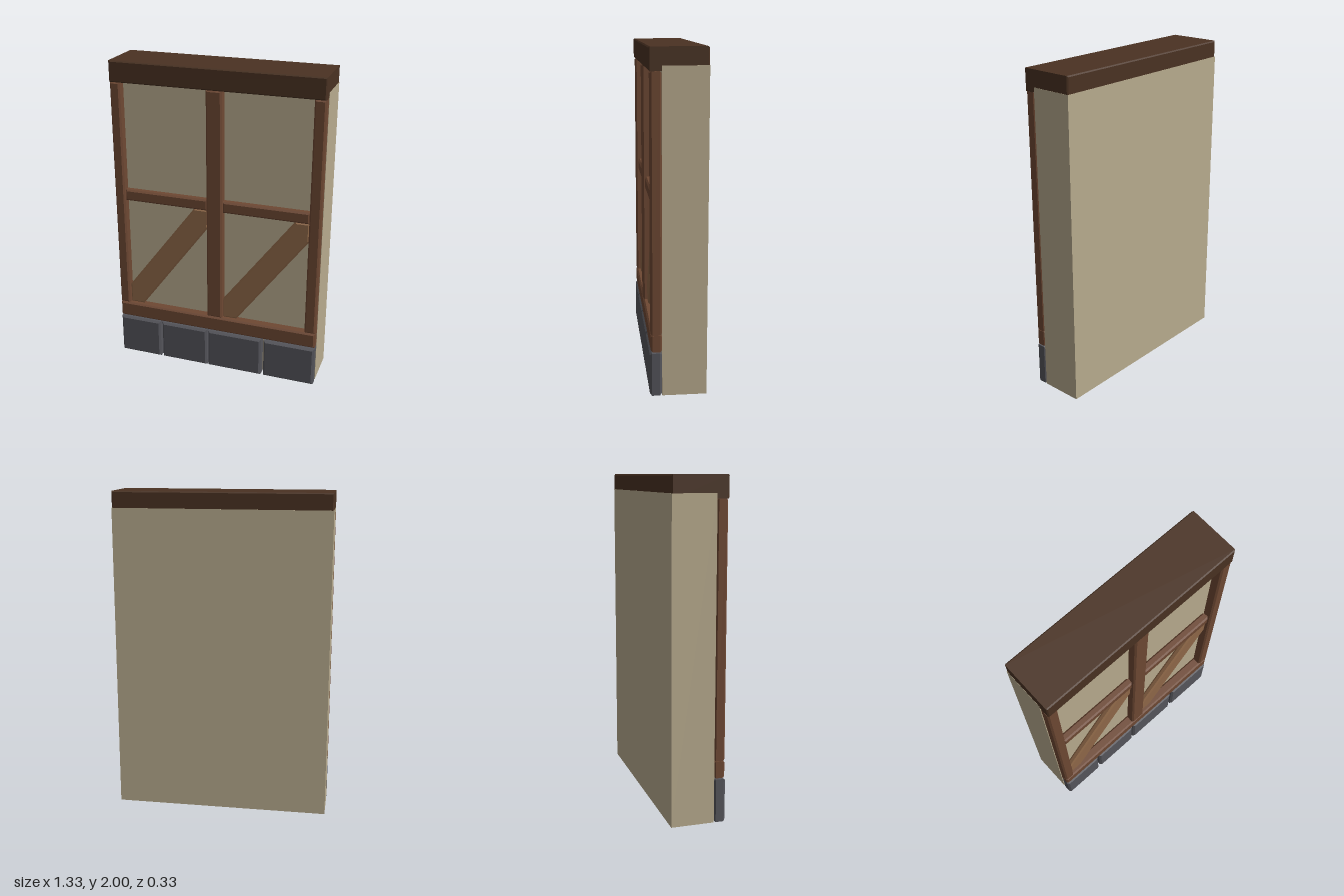
import * as THREE from 'three';

const material = (name, color) => new THREE.MeshStandardMaterial({ name, color });

export function createModel() {
  const plaster = material('plaster', 0xb8ab8e);
  const darkWood = material('dark wood', 0x4a3222);
  const wood = material('wood', 0x6e4833);
  const lightWood = material('light wood', 0x8f6848);
  const stone = material('stone', 0x55555b);

  const model = new THREE.Group();
  model.name = 'timberWall';

  // Outline in x/y, extruded from z0 to z1 with chamfered front and back edges
  function slab(name, mat, points, z0, z1, bevel = 0.01) {
    const shape = new THREE.Shape(points.map(([x, y]) => new THREE.Vector2(x, y)));
    const geometry = new THREE.ExtrudeGeometry(shape, {
      depth: z1 - z0 - 2 * bevel,
      bevelEnabled: true, bevelSegments: 1,
      bevelThickness: bevel, bevelSize: bevel, bevelOffset: -bevel,
    });
    geometry.translate(0, 0, z0 + bevel);
    const mesh = new THREE.Mesh(geometry, mat);
    mesh.name = name;
    model.add(mesh);
  }
  const block = (name, mat, x0, x1, y0, y1, z0, z1, bevel) =>
    slab(name, mat, [[x0, y0], [x1, y0], [x1, y1], [x0, y1]], z0, z1, bevel);

  const HALF = 0.665, WALL = 0.095;

  // Plaster wall body
  const wall = new THREE.Mesh(new THREE.BoxGeometry(2 * HALF, 1.9, 0.26), plaster);
  wall.name = 'wall';
  wall.position.set(0, 0.95, WALL - 0.13);
  model.add(wall);

  // Top beam capping the wall, and the sill
  block('topBeam', darkWood, -HALF + 0.001, HALF - 0.001, 1.87, 2, -0.164, 0.166, 0.007);
  block('sill', wood, -HALF, HALF, 0.27, 0.37, WALL, 0.16);

  // Upright posts
  for (const [name, x0, x1] of [
    ['rightPost', -HALF, -0.6], ['centrePost', -0.052, 0.048], ['leftPost', 0.595, HALF],
  ]) block(name, wood, x0, x1, 0.372, 1.87, WALL, 0.16);

  // Rail and diagonal brace in each bay
  for (const [side, x0, x1] of [['right', -0.6, -0.052], ['left', 0.048, 0.595]]) {
    block(side + 'Rail', wood, x0, x1, 1.105, 1.178, WALL, 0.145);
    slab(side + 'Brace', lightWood, [
      [x0, 0.37], [x0 + 0.09, 0.37], [x1, 0.985],
      [x1, 1.105], [x1 - 0.09, 1.105], [x0, 0.5],
    ], WALL, 0.135);
  }

  // Foundation stones
  [[-HALF, -0.385], [-0.37, -0.055], [-0.045, 0.315], [0.333, HALF]].forEach(([x0, x1], i) =>
    block('foundationStone' + (i + 1), stone, x0, x1, 0, 0.262, WALL, 0.166, 0.012));

  return model;
}
